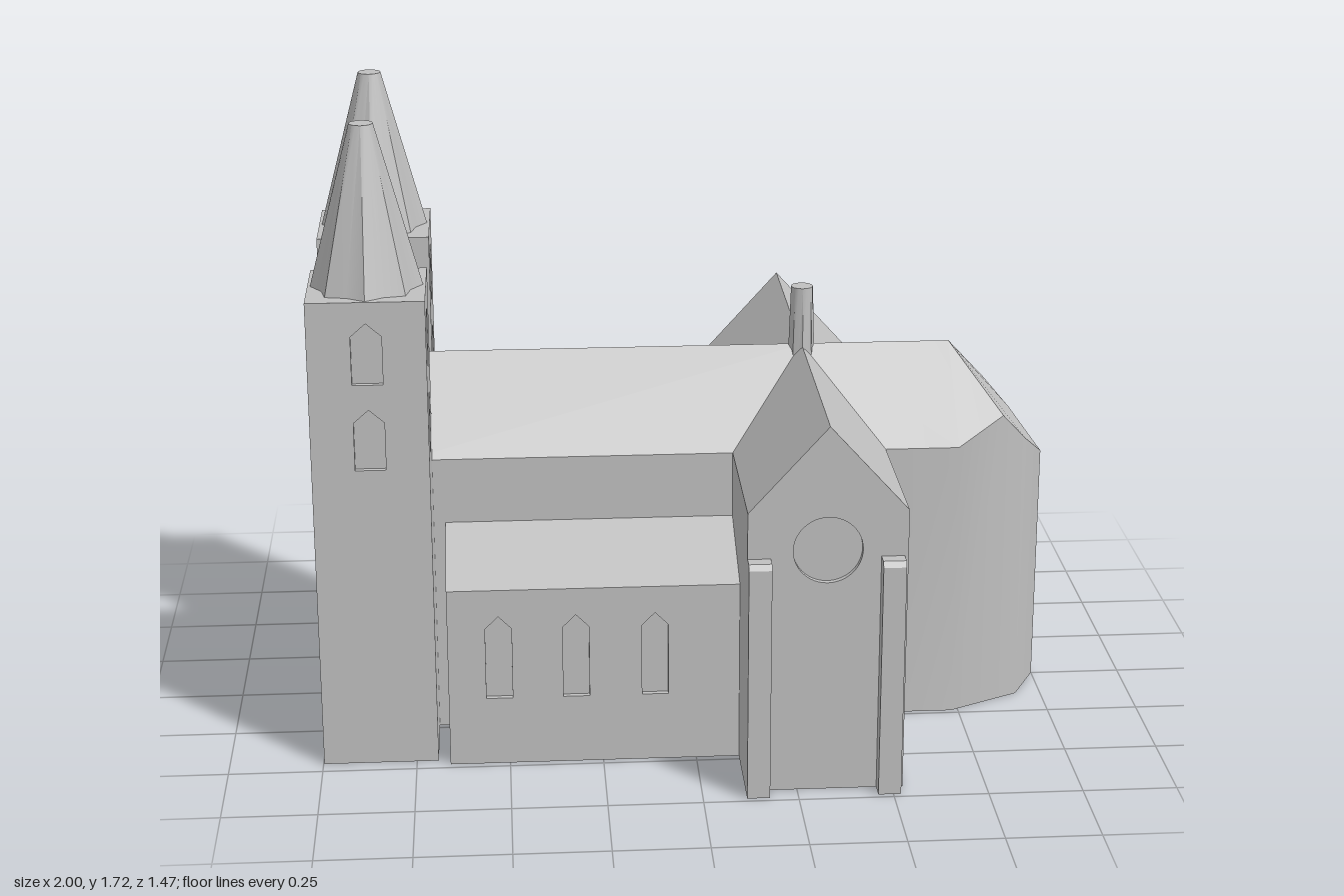
import * as THREE from 'three';
import { toCreasedNormals } from 'three/addons/utils/BufferGeometryUtils.js';

const D = 0.015; // depth of the window recesses

const polygon = pts => new THREE.Shape(pts.map(p => new THREE.Vector2(p[0], p[1])));
const extrude = (shape, depth) =>
  new THREE.ExtrudeGeometry(shape, { depth, bevelEnabled: false, curveSegments: 24 });

// pointed window outline, centred on x
const lancet = (x, y0, y1, w) => polygon([
  [x - w / 2, y0], [x + w / 2, y0], [x + w / 2, y1 - 0.035], [x, y1], [x - w / 2, y1 - 0.035]]);

// wall panel from outline points, with openings
function panel(pts, holes) {
  const shape = polygon(pts);
  shape.holes.push(...holes);
  return extrude(shape, D);
}

// tapered spire with eight ribs and slightly hollow faces
function spireGeometry(rTop, rBase, h) {
  const g = new THREE.CylinderGeometry(rTop, rBase, h, 16, 1);
  const p = g.attributes.position;
  for (let i = 0; i < p.count; i++) {
    const x = p.getX(i), z = p.getZ(i);
    if (p.getY(i) > 0 || Math.hypot(x, z) < 1e-4) continue;
    const step = Math.round(Math.atan2(x, z) / (Math.PI / 8));
    if (step % 2 !== 0) p.setXYZ(i, x * 0.85, p.getY(i), z * 0.85);
  }
  g.translate(0, h / 2, 0);
  return toCreasedNormals(g, 0.7);
}

// east end: walls and hipped roof, built as a front half and its mirror
function apseGeometry() {
  const x0 = 0.33, ridge = 1.01;
  const rim = [[x0, 0.78, 0.235], [0.73, 0.78, 0.235], [0.86, 0.846, 0.17],
    [0.93, 0.766, 0.135], [1, 0.68, 0]];
  const W = [x0, ridge, 0], R = [0.73, ridge, 0], C = [x0, 0, 0];
  const foot = p => [p[0], 0, p[2]];
  const tris = [[W, rim[0], rim[1]], [W, rim[1], R]];
  for (let i = 0; i < 4; i++) {
    const a = rim[i], b = rim[i + 1];
    tris.push([foot(a), foot(b), b], [foot(a), b, a], [C, foot(b), foot(a)]);
    if (i > 0) tris.push([R, a, b]);
  }
  const pos = [];
  for (const [a, b, c] of tris) {
    pos.push(...a, ...b, ...c);
    for (const p of [a, c, b]) pos.push(p[0], p[1], -p[2]);
  }
  const g = new THREE.BufferGeometry();
  g.setAttribute('position', new THREE.Float32BufferAttribute(pos, 3));
  g.computeVertexNormals();
  return toCreasedNormals(g, 0.68);
}

export function createModel() {
  const model = new THREE.Group();
  model.name = 'church';
  const stone = new THREE.MeshStandardMaterial({ color: 0xc0c0c0 });
  stone.name = 'stone';
  const add = (parent, name, geometry, x = 0, y = 0, z = 0) => {
    const m = new THREE.Mesh(geometry, stone);
    m.name = name;
    m.position.set(x, y, z);
    parent.add(m);
    return m;
  };
  const group = (name, parent = model) => {
    const g = new THREE.Group();
    g.name = name;
    parent.add(g);
    return g;
  };

  // nave and apse
  const nave = extrude(polygon([[-0.235, 0], [0.235, 0], [0.235, 0.78], [0, 1.01], [-0.235, 0.78]]), 1.095);
  nave.rotateY(Math.PI / 2);
  add(model, 'nave', nave, -0.765);
  add(model, 'apse', apseGeometry());

  // transept with a round window in each gable
  const xc = 0.3225, hw = 0.2075;
  const gable = [[-hw, 0], [hw, 0], [hw, 0.78], [0, 1.01], [-hw, 0.78]];
  add(model, 'transept', extrude(polygon(gable), 2 * (0.69 - D)), xc, 0, -0.69 + D);
  const round = new THREE.Path().absarc(0, 0.675, 0.09, 0, Math.PI * 2, true);
  const gableWall = panel(gable, [round]);

  // buttress profile with a small chamfer at the outer top edge
  const buttress = extrude(polygon([[0, 0], [0, 0.655], [-0.035, 0.655], [-0.045, 0.64], [-0.045, 0]].reverse()), 0.06);
  buttress.rotateY(Math.PI / 2);

  // side aisle core and its windowed wall
  const aisleCore = extrude(polygon([[-0.2, 0], [-0.2, 0.6], [-0.235, 0.6], [-0.48, 0.5],
    [-0.48 + D, 0.5], [-0.48 + D, 0]].reverse()), 0.785);
  aisleCore.rotateY(Math.PI / 2);

  for (const s of [1, -1]) {
    const side = s > 0 ? 'front' : 'back';

    const end = group(side + 'TranseptEnd');
    add(end, 'gableWall', gableWall, xc, 0, s > 0 ? 0.69 - D : -0.69);
    for (const x of [0.115, 0.46]) {
      const b = add(end, 'buttress', buttress, s > 0 ? x : x + 0.06, 0, s * 0.69);
      if (s < 0) b.rotation.y = Math.PI;
    }

    const aisle = group(side + 'Aisle');
    const core = add(aisle, 'aisleBody', aisleCore, s > 0 ? -0.66 : 0.125);
    if (s < 0) core.rotation.y = Math.PI;
    const windows = [-0.525, -0.32, -0.11].map(x => lancet(x, 0.19, 0.425, 0.07));
    add(aisle, 'aisleWall', panel([[-0.66, 0], [0.125, 0], [0.125, 0.5], [-0.66, 0.5]], windows),
      0, 0, s > 0 ? 0.48 - D : -0.48);

    // tower with two windows on each of its four faces
    const tower = group(side + 'Tower');
    tower.position.set(-0.845, 0, s * 0.302);
    const r = 0.153, h = 1.29;
    add(tower, 'towerCore', new THREE.BoxGeometry(2 * (r - D), h, 2 * (r - D)), 0, h / 2, 0);
    for (let k = 0; k < 4; k++) {
      const w = k % 2 ? r - D : r; // side walls fit between front and back walls
      const wall = panel([[-w, 0], [w, 0], [w, h], [-w, h]],
        [lancet(0, 0.835, 1.0, 0.08), lancet(0, 1.068, 1.233, 0.08)]);
      wall.translate(0, 0, r - D);
      add(tower, 'towerWall', wall).rotation.y = k * Math.PI / 2;
    }
    add(tower, 'spire', spireGeometry(0.031, 0.146, 0.43), 0, h, 0);
  }

  // small turret over the crossing
  add(model, 'crossingTurret', spireGeometry(0.03, 0.037, 0.225), xc, 0.95, 0);
  return model;
}
